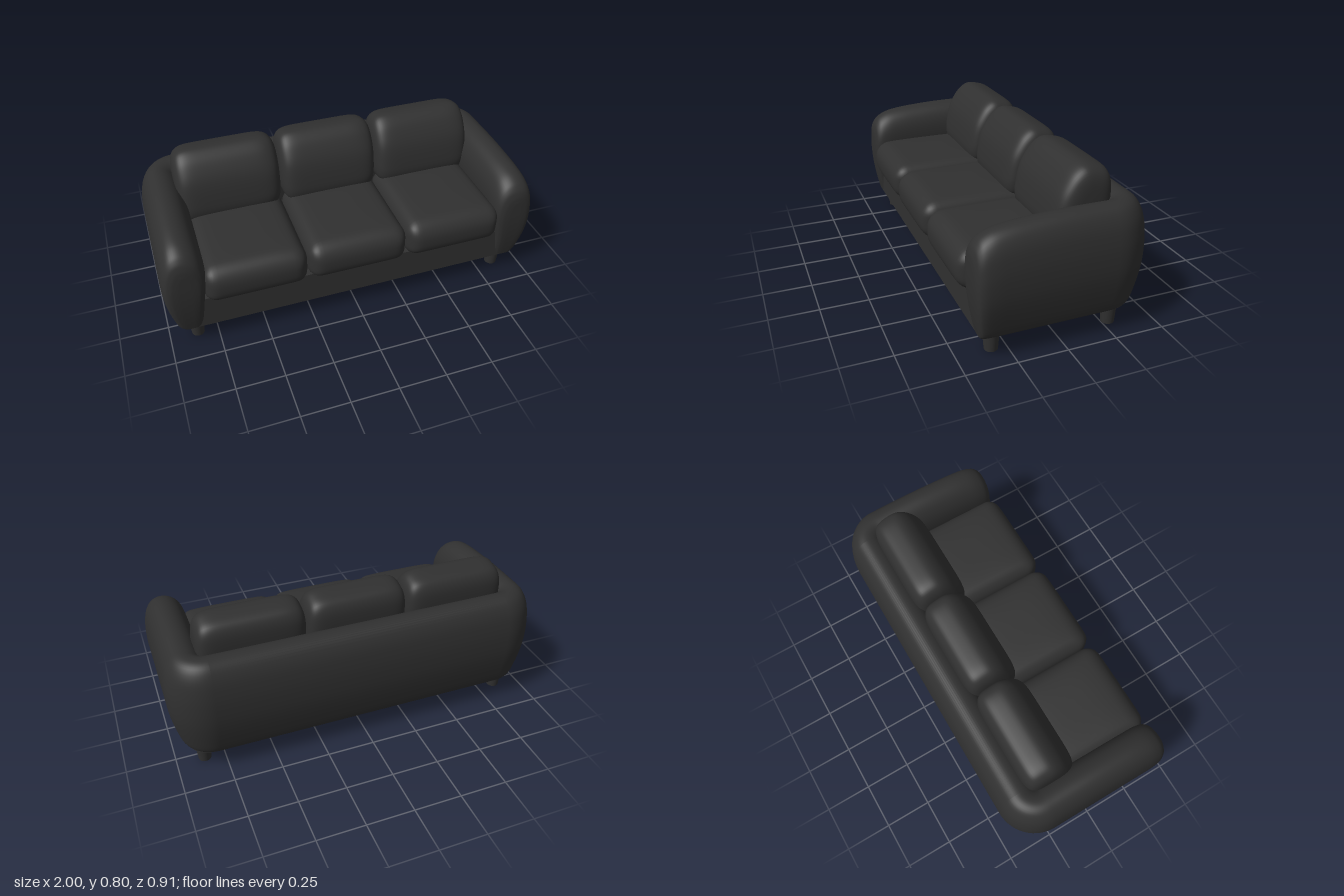
import * as THREE from 'three';
import { mergeVertices } from 'three/addons/utils/BufferGeometryUtils.js';

const leather = new THREE.MeshStandardMaterial({ color: 0x303030 });
leather.name = 'charcoal';

// Skin a list of rings (each a list of Vector3) with smooth normals.
function loft(rings, closed) {
  const n = rings[0].length, index = [];
  for (let i = 0; i < rings.length - 1; i++) {
    for (let j = 0; j < (closed ? n : n - 1); j++) {
      const k = (j + 1) % n;
      const a = i * n + j, b = i * n + k, c = b + n, d = a + n;
      index.push(a, b, d, b, c, d);
    }
  }
  const geo = new THREE.BufferGeometry().setFromPoints(rings.flat());
  geo.setIndex(index);
  geo.computeVertexNormals();
  return geo;
}

const spline = (pts, closed, count) =>
  new THREE.CatmullRomCurve3(pts.map(([x, y, z = 0]) => new THREE.Vector3(x, y, z)), closed).getPoints(count);

// One padded band runs along the left arm, round the back and along the right arm.
function shellGeometry() {
  // Section as (outward offset, height), from inner foot over the top to outer foot.
  const section = spline([
    [-0.075, 0.11], [-0.09, 0.28], [-0.105, 0.4], [-0.112, 0.48], [-0.102, 0.56], [-0.072, 0.62],
    [-0.03, 0.65], [0.015, 0.655], [0.055, 0.635], [0.088, 0.58], [0.105, 0.5], [0.11, 0.42],
    [0.105, 0.32], [0.082, 0.2], [0.06, 0.13], [0.04, 0.11],
  ], false, 60);
  // Arm stations from the front: z, width scale, top height.
  const arm = spline([
    [0.436, 0, 0.48], [0.435, 0.45, 0.5], [0.43, 0.7, 0.535], [0.415, 0.88, 0.57], [0.385, 0.97, 0.6],
    [0.34, 1, 0.622], [0.27, 1, 0.637], [0.15, 1, 0.648], [0, 1, 0.655], [-0.235, 1, 0.655],
  ], false, 45);
  const half = arm.map((p) => ({ x: 0.89, z: p.x, nx: 1, nz: 0, s: Math.max(0, p.y), h: p.z }));
  for (let i = 0; i <= 14; i++) {
    const a = (i / 14) * Math.PI / 2, nx = Math.cos(a), nz = -Math.sin(a);
    half.push({ x: 0.79 + 0.1 * nx, z: -0.245 + 0.1 * nz, nx, nz, s: 1, h: 0.655 });
  }
  const path = [...half, ...half.map((q) => ({ ...q, x: -q.x, nx: -q.nx })).reverse()];
  return loft(path.map((q) => section.map((p) => {
    const y = 0.11 + (p.y - 0.11) * (q.h - 0.11) / 0.545;
    const front = THREE.MathUtils.clamp((q.z - 0.2) / 0.235, 0, 1);
    const tuck = 0.035 * front * Math.max(0, (0.42 - y) / 0.31) ** 2;
    return new THREE.Vector3(q.x + q.nx * p.x * q.s, y, q.z + q.nz * p.x * q.s - tuck);
  })), false);
}

// Rounded box with a crowned top and a bulging front.
function seatGeometry(w, h, d, r) {
  const geo = new THREE.BoxGeometry(2, 2, 2, 28, 16, 28);
  geo.deleteAttribute('uv');
  geo.deleteAttribute('normal');
  const pos = geo.attributes.position, size = new THREE.Vector3(w / 2, h / 2, d / 2);
  const inner = size.clone().subScalar(r), v = new THREE.Vector3(), c = new THREE.Vector3();
  for (let i = 0; i < pos.count; i++) {
    v.fromBufferAttribute(pos, i);
    v.set(...v.toArray().map((t) => Math.sin(t * Math.PI / 2))).multiply(size);
    c.copy(v).clamp(inner.clone().negate(), inner);
    v.sub(c).setLength(r).add(c);
    const [x, y, z] = [v.x / size.x, v.y / size.y, v.z / size.z];
    if (y > 0) v.y += 0.022 * y * (1 - x ** 4) * (1 - 0.7 * z ** 4);
    if (z > 0) v.z += 0.02 * z * (1 - x ** 8) * (1 - y * y);
    pos.setXYZ(i, v.x, v.y, v.z);
  }
  const merged = mergeVertices(geo);
  merged.computeVertexNormals();
  return merged;
}

// Leaning pillow: a side profile swept sideways and rounded off at both ends.
function backCushionGeometry(w) {
  const profile = spline([
    [-0.28, 0.46], [-0.298, 0.56], [-0.305, 0.67], [-0.297, 0.735], [-0.272, 0.774], [-0.22, 0.795], [-0.16, 0.801],
    [-0.11, 0.772], [-0.07, 0.723], [-0.035, 0.655], [-0.014, 0.56], [-0.01, 0.49], [-0.03, 0.44], [-0.15, 0.42],
  ], true, 56).slice(0, -1);
  const rings = [];
  for (let i = 0; i <= 48; i++) {
    const u = Math.sin((i / 48 - 0.5) * Math.PI);
    const s = Math.max(0, 1 - Math.abs(u) ** 8) ** (1 / 4);
    rings.push(profile.map((p) =>
      new THREE.Vector3(u * w / 2, 0.61 + (p.y - 0.61) * s, -0.18 + (p.x + 0.18) * s)));
  }
  return loft(rings, true);
}

// Flat underside with rounded corners.
function undersideGeometry() {
  const x = 0.93, f = 0.4, b = 0.385, r = 0.14, q = 0.06;
  const s = new THREE.Shape();
  s.moveTo(-x + q, -f);
  s.lineTo(x - q, -f);
  s.quadraticCurveTo(x, -f, x, -f + q);
  s.lineTo(x, b - r);
  s.quadraticCurveTo(x, b, x - r, b);
  s.lineTo(-x + r, b);
  s.quadraticCurveTo(-x, b, -x, b - r);
  s.lineTo(-x, -f + q);
  s.quadraticCurveTo(-x, -f, -x + q, -f);
  return new THREE.ExtrudeGeometry(s, { depth: 0.015, bevelEnabled: false }).rotateX(-Math.PI / 2);
}

export function createModel() {
  const sofa = new THREE.Group();
  sofa.name = 'sofa';
  const add = (name, geo, x = 0, y = 0, z = 0) => {
    const mesh = new THREE.Mesh(geo, leather);
    mesh.name = name;
    mesh.position.set(x, y, z);
    sofa.add(mesh);
  };

  // Frame
  add('armsAndBack', shellGeometry());
  add('underside', undersideGeometry(), 0, 0.11, 0);
  add('seatBase', new THREE.BoxGeometry(1.68, 0.18, 0.7), 0, 0.201, 0.05);

  // Three seat and back cushions
  const seat = seatGeometry(0.533, 0.195, 0.585, 0.065);
  for (const i of [-1, 0, 1]) {
    add('seatCushion', seat, i * 0.535, 0.3675, 0.1425);
    add('backCushion', backCushionGeometry(i ? 0.555 : 0.535), i * 0.547, 0, 0);
  }

  // Tapered legs
  const leg = new THREE.CylinderGeometry(0.043, 0.033, 0.12, 24);
  for (const x of [-0.855, 0.855]) {
    add('frontLeg', leg, x, 0.06, 0.324);
    add('backLeg', leg, x, 0.06, -0.284);
  }
  return sofa;
}
